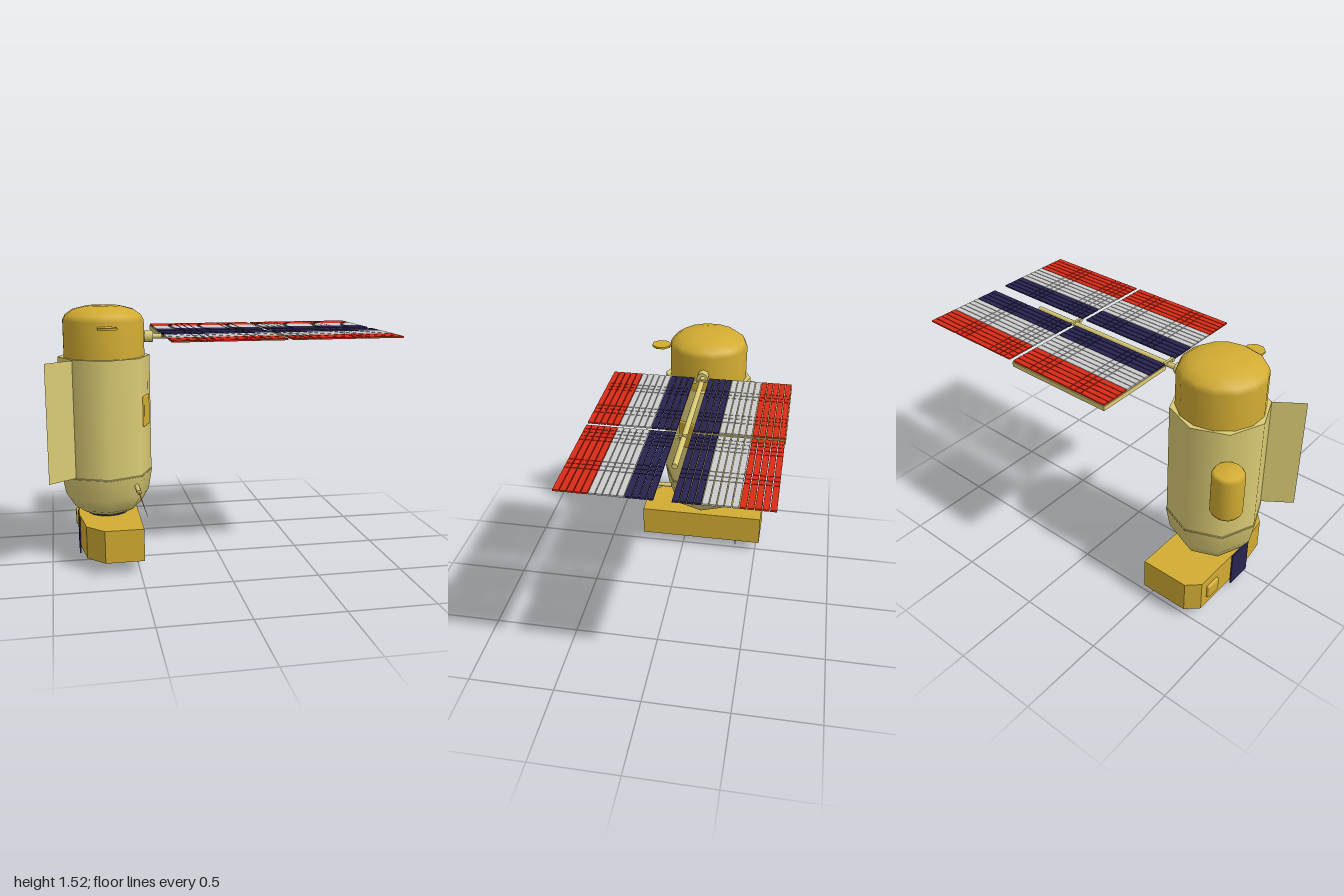
import * as THREE from 'three';
import { mergeGeometries } from 'three/addons/utils/BufferGeometryUtils.js';
import { RoundedBoxGeometry } from 'three/addons/geometries/RoundedBoxGeometry.js';

const mat = (color, side = THREE.FrontSide) => new THREE.MeshStandardMaterial({ color, side });
const gold = mat(0xd2ac32), tan = mat(0xdbcb74), tanThin = mat(0xdbcb74, THREE.DoubleSide);
const red = mat(0xd92a16), navy = mat(0x28234f), grey = mat(0xcccccc), greyThin = mat(0xcccccc, THREE.DoubleSide);
const AX = -0.655, AZ = -0.125; // vertical axis of the main body

export function createModel() {
  const model = new THREE.Group();
  model.name = 'spacecraft';
  const add = (name, geometry, material, x = 0, y = 0, z = 0, parent = model) => {
    const mesh = new THREE.Mesh(geometry, material);
    mesh.name = name;
    mesh.position.set(x, y, z);
    parent.add(mesh);
    return mesh;
  };
  const box = (w, h, d) => new THREE.BoxGeometry(w, h, d);
  const lathe = (points, sides) => new THREE.LatheGeometry(points.map(p => new THREE.Vector2(...p)), sides);

  // Main body: bowl-shaped bottom, octagonal drum, rounded head
  add('lowerHull', lathe([[0, 0.272], [0.13, 0.275], [0.2, 0.31], [0.25, 0.39], [0.275, 0.525]], 8), tan, AX, 0, AZ);
  add('hullRim', new THREE.CylinderGeometry(0.268, 0.275, 0.01, 8), tan, AX, 0.525, AZ);
  add('upperHull', new THREE.CylinderGeometry(0.27, 0.27, 0.695, 8), tan, AX, 0.8725, AZ);
  add('head', lathe([[0.24, 1.2], [0.24, 1.43], [0.225, 1.46], [0.18, 1.492], [0.1, 1.512], [0, 1.516]], 14), gold, AX, 0, AZ);
  add('headDisc', new THREE.CylinderGeometry(0.06, 0.06, 0.012, 8).rotateY(Math.PI / 8), gold, -0.65, 1.404, 0.172);

  // Hatch lying on the octagon face beside the +x corner
  const a = Math.PI / 8, reach = 0.251;
  const hatch = add('hatch', new RoundedBoxGeometry(0.016, 0.18, 0.11, 2, 0.007), gold,
    AX + reach * Math.cos(a), 0.9, AZ + reach * Math.sin(a));
  hatch.rotation.y = -a;

  // Flat radiator fin, pointing out to the front right
  const finStart = new THREE.Vector2(-0.84, 0.06), finEnd = new THREE.Vector2(-1, 0.173);
  const finDir = finEnd.clone().sub(finStart), finMid = finStart.clone().add(finEnd).multiplyScalar(0.5);
  const fin = add('radiatorFin', new THREE.PlaneGeometry(finDir.length(), 0.69), tanThin, finMid.x, 0.873, finMid.y);
  fin.rotation.y = -Math.atan2(finDir.y, finDir.x);

  // Round tank on the back
  add('tank', lathe([[0, 0.777], [0.075, 0.78], [0.088, 0.8], [0.088, 1.03], [0.075, 1.05], [0, 1.055]], 16), gold, -0.89, 0, -0.372);

  // Antenna
  add('antennaBase', new THREE.CylinderGeometry(0.014, 0.014, 0.135, 10).rotateX(Math.PI / 2), tan, -0.495, 0.467, 0.15);
  add('antennaRod', new THREE.CylinderGeometry(0.001, 0.004, 0.45, 6).rotateX(Math.PI / 2), tan, -0.495, 0.467, 0.44);

  // Base module: faceted outline extruded upwards
  const outline = [[-0.475, 0.275], [-0.475, -0.525], [-0.76, -0.525], [-0.83, -0.46], [-0.83, -0.05], [-0.8, 0.17], [-0.7, 0.275]];
  const slab = (scale, height) => {
    const cx = -0.65, cz = -0.125;
    const shape = new THREE.Shape(outline.map(([x, z]) =>
      new THREE.Vector2(cx + (x - cx) * scale, -(cz + (z - cz) * scale))));
    return new THREE.ExtrudeGeometry(shape, { depth: height, bevelEnabled: false }).rotateX(-Math.PI / 2);
  };
  add('baseModule', slab(1, 0.193), gold, 0, 0.072, 0);
  add('baseUnderside', slab(0.93, 0.01), grey, 0, 0.067, 0);
  add('neck', new THREE.CylinderGeometry(0.12, 0.12, 0.02, 16), navy, AX, 0.268, AZ);
  add('sidePanel', box(0.008, 0.225, 0.16), navy, -0.834, 0.152, -0.09);
  add('sideHatch', new RoundedBoxGeometry(0.03, 0.09, 0.1, 2, 0.012), gold, -0.832, 0.165, -0.36);

  // Engines and blast shield under the base
  add('blastShield', box(0.25, 0.07, 0.004), grey, -0.65, 0.035, -0.36);
  const bell = (name, r, h, x, z) =>
    add(name, lathe([[r, -h], [r * 0.9, -h * 0.6], [r * 0.55, -h * 0.2], [0.2 * r, 0.004]], 12), greyThin, x, 0.067, z);
  for (const x of [-0.7, -0.59]) {
    bell('rearEngine', 0.034, 0.03, x, -0.435);
    add('rearTank', new THREE.SphereGeometry(0.026, 12, 8), grey, x + 0.03, 0.065, -0.47);
  }
  for (const [x, z] of [[-0.7, 0.16], [-0.6, 0.17], [-0.65, 0.12], [-0.62, 0.02]]) bell('frontEngine', 0.02, 0.012, x, z);
  for (const z of [-0.1, -0.2, -0.28]) add('bottomPlate', box(0.13, 0.006, 0.06), grey, -0.64, 0.065, z);

  // Solar array: hub, boom and cross arms
  const along = (r, len, sides) => new THREE.CylinderGeometry(r, r, len, sides).rotateZ(Math.PI / 2);
  const array = new THREE.Group();
  array.name = 'solarArray';
  model.add(array);
  add('hub', along(0.034, 0.05, 8), tan, -0.39, 1.328, AZ, array);
  add('hubRoot', along(0.024, 0.06, 8), tan, -0.43, 1.328, AZ, array);
  add('boom', along(0.016, 1.03, 10), tan, 0.14, 1.328, -0.128, array);
  for (const x of [-0.305, 0.368]) {
    add('crossArm', box(0.014, 0.012, 0.12), tan, x, 1.342, -0.128, array);
    add('crossArmPin', along(0.012, 0.02, 8), tan, x, 1.337, -0.09, array);
  }

  // Each wing: 14 slats in three colours, split into cells along x
  const pitch = 0.0349, bands = [['navy', navy, 0, 4], ['silver', grey, 4, 9], ['red', red, 9, 14]];
  const wing = (name, x0, cuts, sign) => {
    const zInner = sign > 0 ? -0.086 : -0.17;
    const edges = [0, ...cuts, 0.648];
    for (const [label, material, from, to] of bands) {
      const cells = [];
      for (let row = from; row < to; row++) {
        for (let i = 0; i < edges.length - 1; i++) {
          const w = edges[i + 1] - edges[i];
          cells.push(box(w - 0.004, 0.009, pitch - 0.004)
            .translate(x0 + edges[i] + w / 2, 1.35, zInner + sign * (row + 0.5) * pitch));
        }
      }
      add(`${name} ${label} cells`, mergeGeometries(cells), material, 0, 0, 0, array);
    }
  };
  const innerCuts = [0.16, 0.2, 0.24, 0.44, 0.48, 0.525], outerCuts = [0.045, 0.08, 0.12, 0.16, 0.36, 0.4, 0.44];
  for (const sign of [1, -1]) {
    const place = sign > 0 ? 'front' : 'rear';
    wing(`${place} inner`, -0.322, innerCuts, sign);
    wing(`${place} outer`, 0.352, outerCuts, sign);
  }

  // Tray below the rear inner wing
  add('wingTray', box(0.65, 0.026, 0.492), tan, 0.002, 1.331, -0.415, array);
  return model;
}
